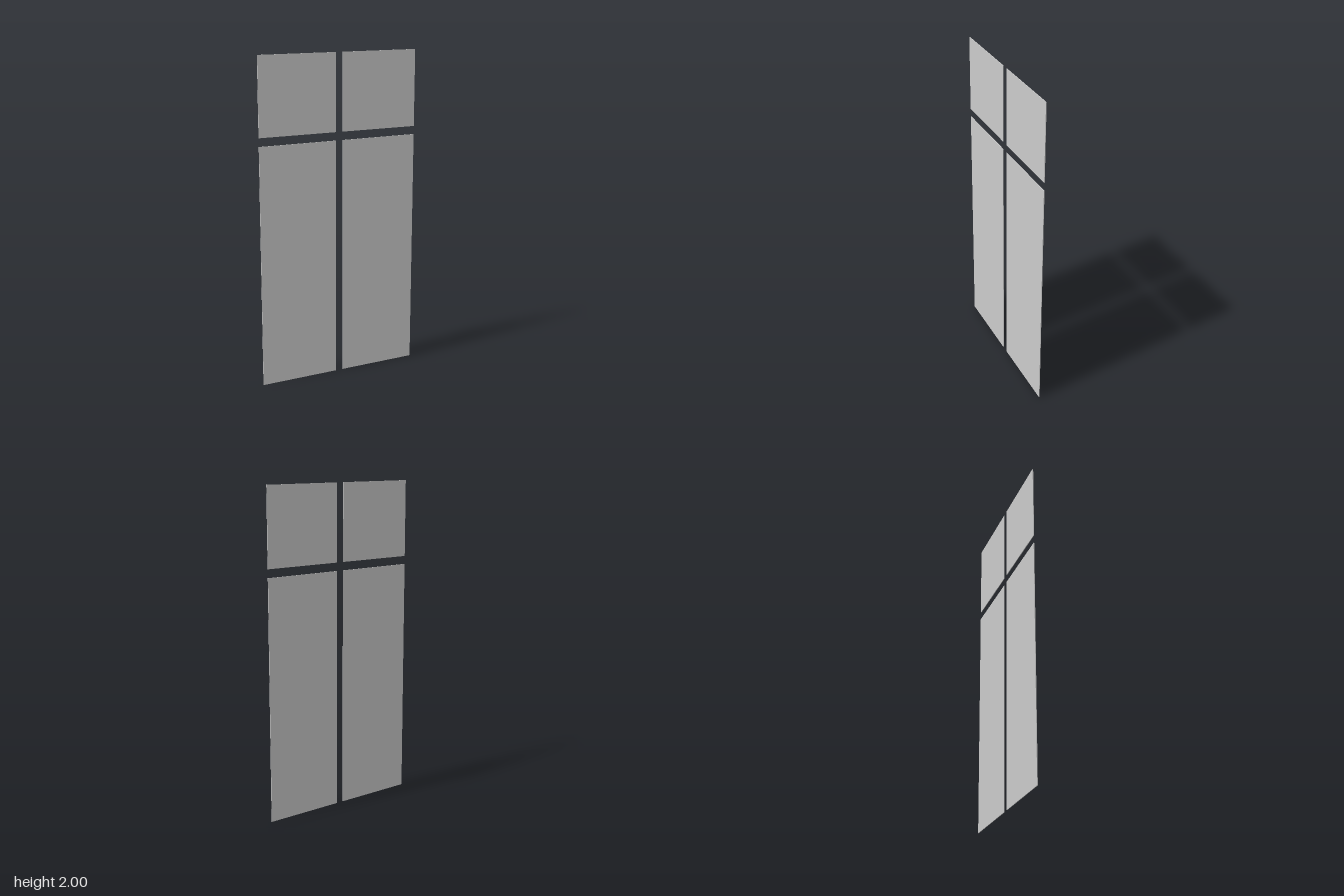
import * as THREE from 'three';

// Four thin window panes separated by a cross-shaped gap
export function createModel() {
  const group = new THREE.Group();
  group.name = 'windowPanes';
  const material = new THREE.MeshStandardMaterial({ color: 0xcccccc });
  const inner = 0.024, outer = 0.523, thickness = 0.004;
  const rows = [
    { name: 'lower', bottom: 0, top: 1.475 },
    { name: 'upper', bottom: 1.526, top: 2 },
  ];

  for (const { name, bottom, top } of rows) {
    for (const side of [-1, 1]) {
      const pane = new THREE.Mesh(
        new THREE.BoxGeometry(outer - inner, top - bottom, thickness),
        material
      );
      pane.name = name + (side > 0 ? 'Left' : 'Right') + 'Pane';
      pane.position.set(side * (inner + outer) / 2, (bottom + top) / 2, 0);
      group.add(pane);
    }
  }
  return group;
}
